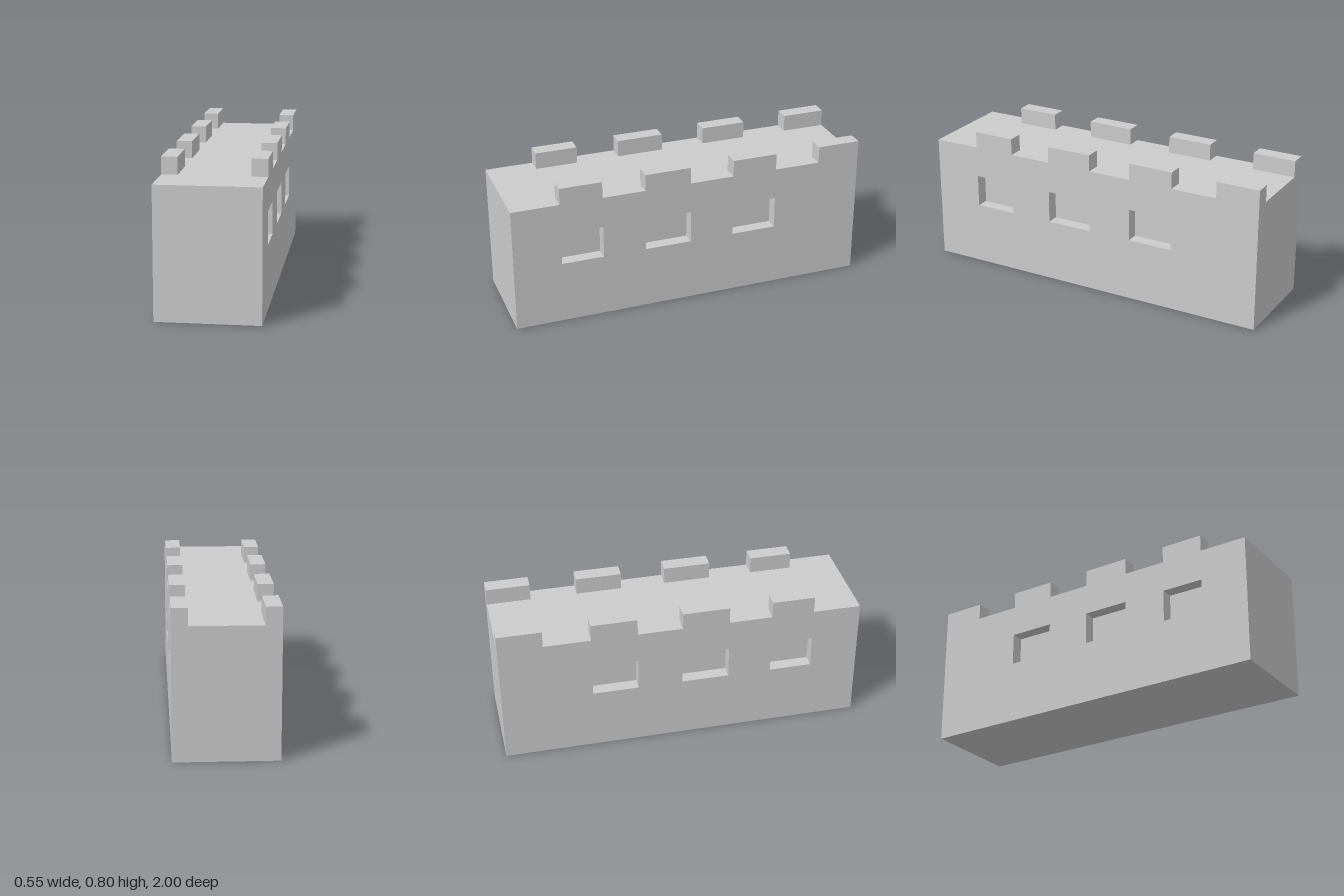
import * as THREE from 'three';

const HALF_W = 0.275, DECK = 0.704, TOP = 0.797;
const RECESS = 0.07, MERLON = 0.085;
// z ranges of the battlements; the first three have a window below
const BAYS = [[0.5, 0.735], [0, 0.26], [-0.5, -0.247], [-1, -0.758]];
const SILL = 0.35, LINTEL = 0.53;

function rect(path, x0, y0, x1, y1) {
  path.moveTo(x0, y0);
  path.lineTo(x1, y0);
  path.lineTo(x1, y1);
  path.lineTo(x0, y1);
  path.closePath();
  return path;
}

export function createModel() {
  const group = new THREE.Group();
  const material = new THREE.MeshStandardMaterial({ color: 0xcccccc, flatShading: true });
  const add = (name, geometry, x, y, z) => {
    const mesh = new THREE.Mesh(geometry, material);
    mesh.name = name;
    mesh.position.set(x, y, z);
    group.add(mesh);
  };

  // Solid core, whose sides close the backs of the windows
  add('core', new THREE.BoxGeometry(2 * (HALF_W - RECESS), DECK, 2), 0, DECK / 2, 0);

  // Side wall drawn along -z, with window openings, extruded along x
  const shape = rect(new THREE.Shape(), -1, 0, 1, DECK);
  for (const [z0, z1] of BAYS.slice(0, 3)) {
    shape.holes.push(rect(new THREE.Path(), -z1, SILL, -z0, LINTEL));
  }
  const wall = new THREE.ExtrudeGeometry(shape, { depth: RECESS, bevelEnabled: false });
  wall.rotateY(Math.PI / 2);

  for (const [side, sign] of [['left', 1], ['right', -1]]) {
    add(side + 'Wall', wall, sign > 0 ? HALF_W - RECESS : -HALF_W, 0, 0);
    // Battlements along the outer edge of the deck
    BAYS.forEach(([z0, z1], i) => {
      add(side + 'Battlement' + (i + 1), new THREE.BoxGeometry(MERLON, TOP - DECK, z1 - z0),
        sign * (HALF_W - MERLON / 2), (TOP + DECK) / 2, (z0 + z1) / 2);
    });
  }
  return group;
}
